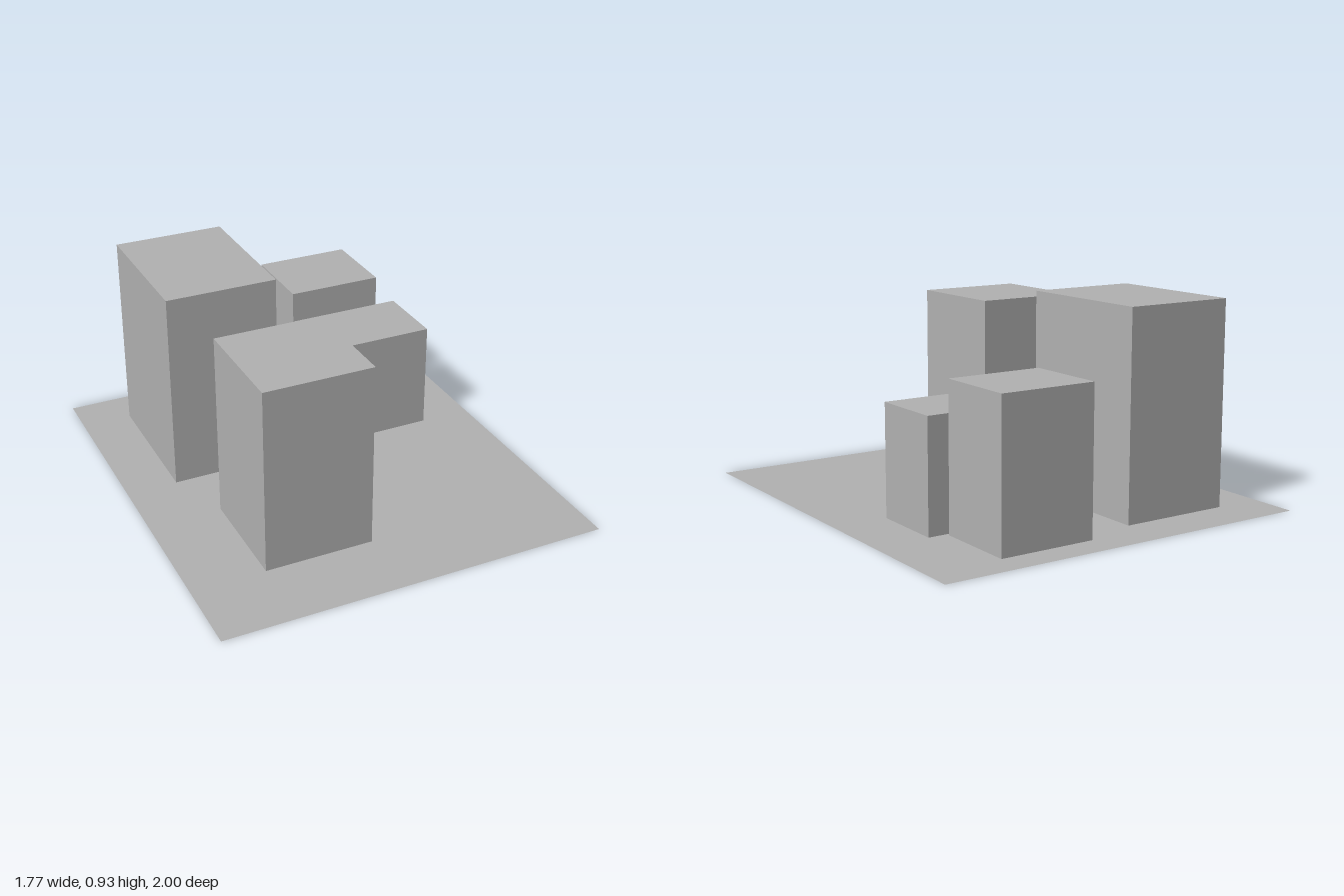
import * as THREE from 'three';

export function createModel() {
  const group = new THREE.Group();
  const grey = new THREE.MeshStandardMaterial({ color: 0xb2b2b2 });
  grey.name = 'plain grey';
  grey.side = THREE.DoubleSide;

  // Flat site the buildings stand on
  const site = new THREE.Mesh(new THREE.PlaneGeometry(1.775, 2).rotateX(-Math.PI / 2), grey);
  site.name = 'site';
  group.add(site);

  // Block given by its lower and upper corners
  function addBlock(name, [x0, y0, z0], [x1, y1, z1]) {
    const block = new THREE.Mesh(new THREE.BoxGeometry(x1 - x0, y1 - y0, z1 - z0), grey);
    block.position.set((x0 + x1) / 2, (y0 + y1) / 2, (z0 + z1) / 2);
    block.name = name;
    group.add(block);
  }

  addBlock('tallTower', [-0.656, 0.006, -0.8], [-0.142, 0.928, -0.13]);
  addBlock('frontTower', [-0.552, 0.006, 0.155], [-0.056, 0.858, 0.665]);
  addBlock('lowBlock', [0.102, 0.006, -0.48], [0.642, 0.512, -0.135]);

  // Rear building: main body with an upper storey
  addBlock('rearBlockBody', [0.1, 0.001, -0.866], [0.546, 0.512, -0.485]);
  addBlock('rearBlockTopStorey', [0.1, 0.512, -0.866], [0.546, 0.655, -0.485]);

  return group;
}
